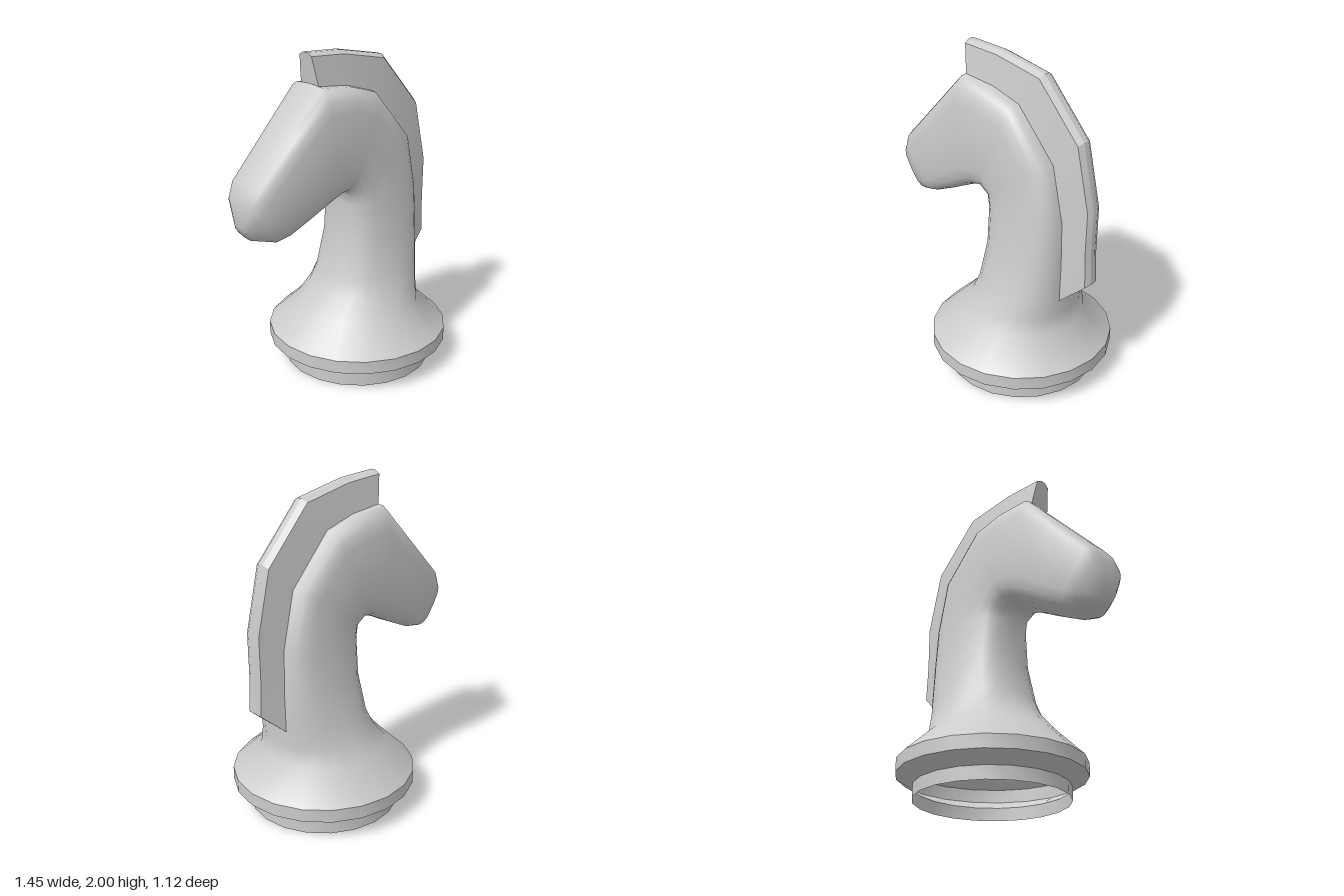
import * as THREE from 'three';
import { toCreasedNormals } from 'three/addons/utils/BufferGeometryUtils.js';

const SIDES = 20;

// Skins a list of closed rings (arrays of [x, y, z]), with optional end caps.
function loft(rings, capStart, capEnd) {
  const n = rings[0].length;
  const pos = rings.flat(2);
  const index = [];
  for (let r = 0; r < rings.length - 1; r++) {
    for (let i = 0; i < n; i++) {
      const a = r * n + i, b = r * n + (i + 1) % n;
      index.push(a, a + n, b, b, a + n, b + n);
    }
  }
  const cap = (r, flip) => {
    const centre = [0, 1, 2].map(k => rings[r].reduce((s, p) => s + p[k], 0) / n);
    const c = pos.length / 3;
    pos.push(...centre);
    for (let i = 0; i < n; i++) {
      const a = r * n + i, b = r * n + (i + 1) % n;
      index.push(c, flip ? b : a, flip ? a : b);
    }
  };
  if (capStart) cap(0, false);
  if (capEnd) cap(rings.length - 1, true);
  const geo = new THREE.BufferGeometry();
  geo.setAttribute('position', new THREE.Float32BufferAttribute(pos, 3));
  geo.setIndex(index);
  geo.computeVertexNormals();
  return geo;
}

// Rounded-box ring spanning a throat point and a crest point.
function bodyRing([fx, fy, bx, by, halfWidth, power]) {
  const round = v => Math.sign(v) * Math.pow(Math.abs(v), 2 / power);
  return Array.from({ length: SIDES }, (_, i) => {
    const a = (i / SIDES) * Math.PI * 2;
    const u = round(Math.cos(a)), w = round(Math.sin(a));
    return [(fx + bx) / 2 + u * (bx - fx) / 2, (fy + by) / 2 + u * (by - fy) / 2, w * halfWidth];
  });
}

export function createModel() {
  const group = new THREE.Group();
  const grey = new THREE.MeshStandardMaterial({ color: 0xcccccc, side: THREE.DoubleSide });
  grey.name = 'pale grey';
  const add = (name, geo) => {
    const mesh = new THREE.Mesh(geo, grey);
    mesh.name = name;
    group.add(mesh);
    return mesh;
  };

  // Open foot and rim
  const profile = [[0.46, 0], [0.46, 0.08], [0.56, 0.14], [0.56, 0.22]].map(p => new THREE.Vector2(...p));
  const base = add('base', toCreasedNormals(new THREE.LatheGeometry(profile, SIDES), 0.6));
  base.position.x = 0.16;

  // Skirt, neck and head: throat x, y, crest x, y, half width, squareness
  const sections = [
    [-0.40, 0.22, 0.72, 0.22, 0.56, 2],
    [-0.23, 0.385, 0.545, 0.385, 0.38, 2],
    [-0.12, 0.50, 0.53, 0.50, 0.325, 2.2],
    [-0.07, 0.60, 0.535, 0.61, 0.28, 2.5],
    [-0.01, 0.84, 0.53, 0.84, 0.235, 3],
    [0.00, 1.07, 0.52, 1.10, 0.205, 3.5],
    [-0.005, 1.13, 0.445, 1.44, 0.197, 4],
    [-0.05, 1.165, 0.19, 1.735, 0.2, 4.2],
    [-0.11, 1.155, 0.00, 1.795, 0.2, 4.4],
    [-0.19, 1.115, -0.21, 1.82, 0.198, 4.4],
    [-0.30, 1.06, -0.43, 1.59, 0.185, 4.2],
    [-0.45, 0.99, -0.68, 1.33, 0.17, 3.8],
    [-0.54, 0.97, -0.715, 1.245, 0.155, 3.5],
    [-0.66, 0.995, -0.727, 1.08, 0.055, 2.5],
  ];
  add('neckAndHead', toCreasedNormals(loft(sections.map(bodyRing), false, true), 0.9));

  // Ridged mane along the crest: outer x, y, inner x, y, inner half width
  const maneLine = [
    [-0.24, 2.00, -0.21, 1.82, 0.08],
    [0.00, 1.985, 0.00, 1.795, 0.08],
    [0.32, 1.92, 0.19, 1.735, 0.08],
    [0.60, 1.60, 0.445, 1.44, 0.08],
    [0.685, 1.22, 0.52, 1.10, 0.08],
    [0.68, 0.95, 0.53, 0.84, 0.085],
    [0.69, 0.74, 0.53, 0.60, 0.095],
  ];
  const maneRings = maneLine.map(([ox, oy, ix, iy, w]) => {
    const at = (t, z) => [ox + (ix - ox) * t, oy + (iy - oy) * t, z];
    return [at(1.08, w), at(0.1, 0.053), at(0, 0.018), at(0, -0.018), at(0.1, -0.053), at(1.08, -w)];
  });
  add('mane', toCreasedNormals(loft(maneRings, true, true), 0.3));

  return group;
}
